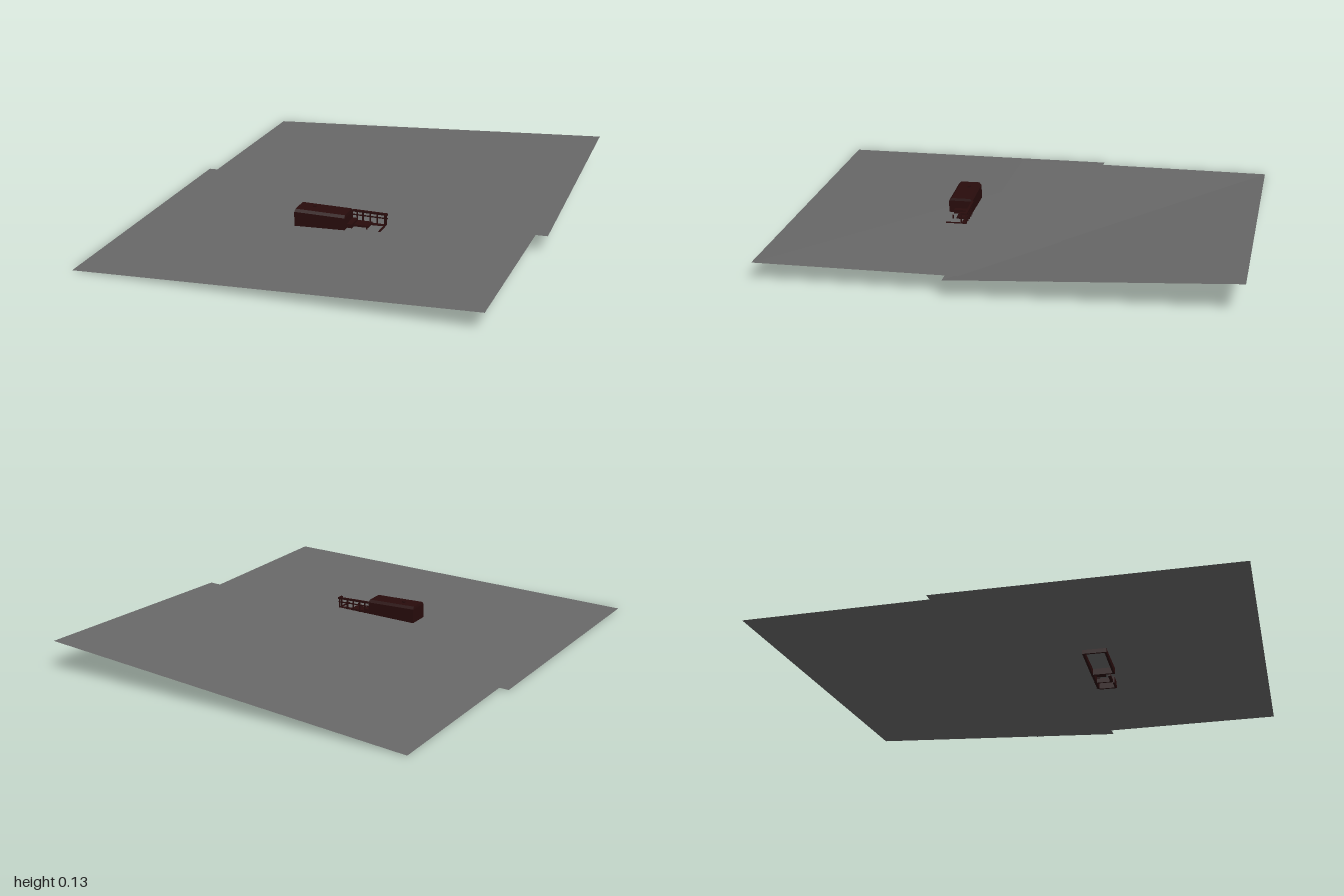
import * as THREE from 'three';

const gray = new THREE.MeshStandardMaterial({ color: 0x686868, side: THREE.DoubleSide, flatShading: true });
gray.name = 'ground gray';
const maroon = new THREE.MeshStandardMaterial({ color: 0x280c0c, side: THREE.DoubleSide, flatShading: true });
maroon.name = 'dark maroon';

// Box given by its limits on each axis
function block(parent, name, [x0, x1], [y0, y1], [z0, z1]) {
  const mesh = new THREE.Mesh(new THREE.BoxGeometry(x1 - x0, y1 - y0, z1 - z0), maroon);
  mesh.position.set((x0 + x1) / 2, (y0 + y1) / 2, (z0 + z1) / 2);
  mesh.name = name;
  parent.add(mesh);
}

// Ground sheet of two triangles: back left, back right, front right, front left
function sheet(name, corners) {
  const g = new THREE.BufferGeometry();
  g.setAttribute('position', new THREE.Float32BufferAttribute(corners.flat(), 3));
  g.setIndex([0, 3, 2, 0, 2, 1]);
  g.computeVertexNormals();
  const mesh = new THREE.Mesh(g, gray);
  mesh.name = name;
  return mesh;
}

// Four walls without floor or ceiling
function wallRing(parent, name, [x0, x1], y, [z0, z1], t) {
  const ring = new THREE.Group();
  ring.name = name;
  block(ring, 'backWall', [x0, x1], y, [z0, z0 + t]);
  block(ring, 'frontWall', [x0, x1], y, [z1 - t, z1]);
  block(ring, 'rightWall', [x0, x0 + t], y, [z0 + t, z1 - t]);
  block(ring, 'leftWall', [x1 - t, x1], y, [z0 + t, z1 - t]);
  parent.add(ring);
}

export function createModel() {
  const model = new THREE.Group();
  model.name = 'hutOnSlope';

  // Two overlapping sloping ground sheets
  model.add(sheet('backGround', [[-0.83, 0, -1], [0.81, 0.13, -0.975], [0.86, 0.078, 0.165], [-0.815, 0.005, 0.165]]));
  model.add(sheet('frontGround', [[-0.86, 0.001, -0.23], [0.8, 0.075, -0.2], [0.83, 0.08, 0.935], [-0.84, 0, 1]]));

  const hut = new THREE.Group();
  hut.name = 'hut';
  hut.position.z = 0.277;
  hut.rotation.y = 0.03;
  model.add(hut);

  // Main room, sunk into the slope, open below
  wallRing(hut, 'mainWalls', [-0.18, 0.043], [0.015, 0.095], [-0.05, 0.052], 0.009);

  // Low hipped roof with a flat top
  const roof = new THREE.Mesh(new THREE.BoxGeometry(0.223, 0.012, 0.102), maroon);
  const p = roof.geometry.attributes.position;
  for (let i = 0; i < p.count; i++) {
    if (p.getY(i) > 0) p.setXYZ(i, p.getX(i) * 0.98, p.getY(i), p.getZ(i) * 0.8);
  }
  roof.geometry.computeVertexNormals();
  roof.position.set(-0.0685, 0.1, 0.001);
  roof.name = 'roof';
  hut.add(roof);
  block(hut, 'chimney', [-0.117, -0.105], [0.1, 0.113], [-0.012, 0]);

  // Stepped porch beside the room
  block(hut, 'porchStep', [0.043, 0.066], [0.045, 0.062], [-0.05, 0.026]);
  block(hut, 'porchDeck', [0.066, 0.13], [0.045, 0.054], [-0.05, 0.002]);
  block(hut, 'porchLanding', [0.13, 0.193], [0.042, 0.05], [-0.05, -0.03]);

  // Open frame over the back of the porch
  block(hut, 'topBeam', [0.043, 0.195], [0.09, 0.098], [-0.056, -0.046]);
  block(hut, 'frameSideBeam', [0.187, 0.195], [0.09, 0.098], [-0.056, -0.028]);
  block(hut, 'handRail', [0.043, 0.195], [0.074, 0.078], [-0.053, -0.048]);
  for (const x of [0.062, 0.087, 0.12, 0.15, 0.19]) {
    block(hut, 'post', [x - 0.0025, x + 0.0025], [0.02, 0.092], [-0.053, -0.048]);
  }
  block(hut, 'frontPost', [0.188, 0.193], [0.02, 0.092], [-0.033, -0.028]);
  block(hut, 'stepPost', [0.126, 0.131], [0.02, 0.062], [0.015, 0.02]);

  // Porch footing below the slope
  block(hut, 'backFooting', [0.043, 0.193], [0.018, 0.045], [-0.05, -0.04]);
  block(hut, 'endFooting', [0.184, 0.193], [0.015, 0.052], [-0.04, 0.036]);
  block(hut, 'middleFooting', [0.13, 0.138], [0.02, 0.04], [-0.04, 0.03]);
  block(hut, 'frontFooting', [0.13, 0.184], [0.015, 0.045], [0.028, 0.036]);
  block(hut, 'stepFooting', [0.066, 0.13], [0.018, 0.027], [0.018, 0.03]);
  return model;
}
